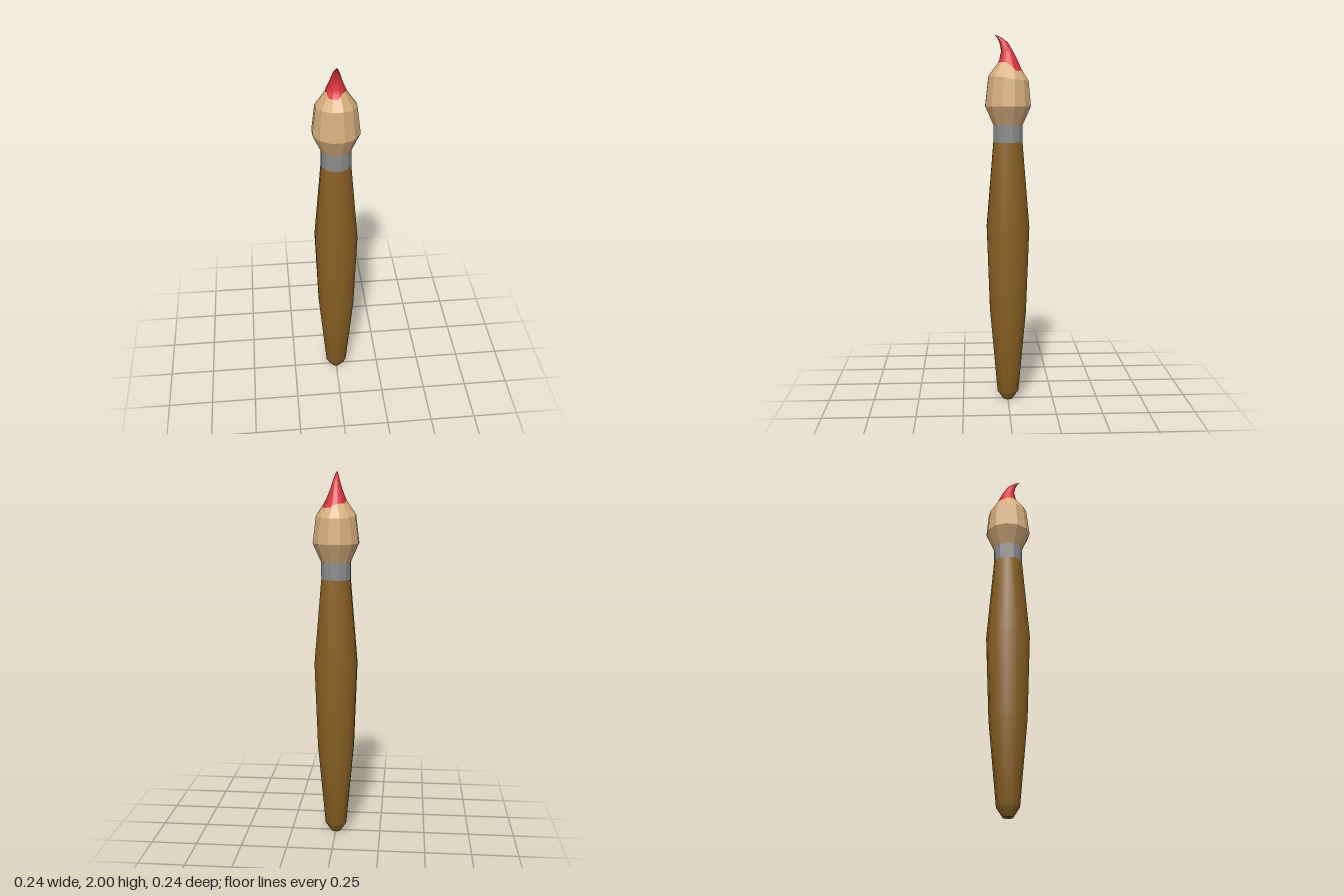
import * as THREE from 'three';
import { toCreasedNormals } from 'three/addons/utils/BufferGeometryUtils.js';

const SIDES = 12;
const STEP = (Math.PI * 2) / SIDES;

// Twelve-sided turned part from [radius, height] pairs
function turned(name, profile, material, crease) {
  const points = profile.map(([r, y]) => new THREE.Vector2(r, y));
  const geometry = new THREE.LatheGeometry(points, SIDES, STEP / 2);
  const mesh = new THREE.Mesh(toCreasedNormals(geometry, crease), material);
  mesh.name = name;
  return mesh;
}

// Cross-sections of the bent tip: height, z centre, x radius, z radius, forward lift
const SECTIONS = [
  [1.775, -0.003, 0.107, 0.109, 0.013],
  [1.845, -0.011, 0.057, 0.06, 0.018],
  [1.91, 0.0, 0.031, 0.036, 0.008],
  [1.96, 0.022, 0.016, 0.023, 0.0],
  [1.986, 0.047, 0.007, 0.009, -0.003],
  [2.0, 0.07, 0.0, 0.0, 0.0],
];

// Where the paint begins, every 30 degrees, in units of cross-sections
const PAINT_EDGE = [0.98, 1.08, 0.98, 0.66, 0.7, 1.03, 1.1, 1.02, 1.1, 1.05, 0.78, 0.65];

function paintEdge(angle) {
  const s = angle / STEP;
  const i = Math.floor(s);
  const t = (1 - Math.cos((s - i) * Math.PI)) / 2;
  return THREE.MathUtils.lerp(PAINT_EDGE[i % SIDES], PAINT_EDGE[(i + 1) % SIDES], t);
}

// Point on the tip surface; v counts cross-sections from the shoulder up
function tipPoint(angle, v) {
  const i = Math.min(Math.floor(v), SECTIONS.length - 2);
  const [y, zc, rx, rz, lift] = SECTIONS[i].map((a, k) =>
    THREE.MathUtils.lerp(a, SECTIONS[i + 1][k], v - i));
  // Straight edges between the twelve corners
  const s = angle / STEP - 0.5;
  const k = Math.floor(s);
  const a0 = (k + 0.5) * STEP;
  const a1 = a0 + STEP;
  const c = THREE.MathUtils.lerp(Math.cos(a0), Math.cos(a1), s - k);
  const n = THREE.MathUtils.lerp(Math.sin(a0), Math.sin(a1), s - k);
  return [rx * c, y + lift * n, zc + rz * n];
}

// Skin over the tip between two height rules
function tipSkin(name, rows, from, to, material, crease) {
  const cols = SIDES * 6;
  const positions = [];
  const index = [];
  for (let j = 0; j <= rows; j++) {
    for (let i = 0; i < cols; i++) {
      const angle = (i / cols) * Math.PI * 2;
      positions.push(...tipPoint(angle, THREE.MathUtils.lerp(from(angle), to(angle), j / rows)));
    }
  }
  for (let j = 0; j < rows; j++) {
    for (let i = 0; i < cols; i++) {
      const a = j * cols + i;
      const b = j * cols + ((i + 1) % cols);
      index.push(a, a + cols, b);
      if (j < rows - 1 || name !== 'paintTip') index.push(b, a + cols, b + cols);
    }
  }
  const geometry = new THREE.BufferGeometry();
  geometry.setAttribute('position', new THREE.Float32BufferAttribute(positions, 3));
  geometry.setIndex(index);
  const mesh = new THREE.Mesh(toCreasedNormals(geometry, crease), material);
  mesh.name = name;
  return mesh;
}

function flatColour(name, color) {
  const material = new THREE.MeshStandardMaterial({ color });
  material.name = name;
  return material;
}

export function createModel() {
  const wood = flatColour('brown wood', 0x8a6124);
  const metal = flatColour('grey metal', 0x8c8c8e);
  const hair = flatColour('tan bristle', 0xd6ae7e);
  const paint = flatColour('red paint', 0xd8303a);

  const brush = new THREE.Group();
  brush.name = 'paintbrush';

  // Swelling handle with a blunt tapered end
  brush.add(turned('handle', [
    [0, 0], [0.027, 0], [0.06, 0.05], [0.102, 0.51], [0.119, 0.98], [0.08, 1.44],
  ], wood, 0.6));

  // Metal collar
  brush.add(turned('ferrule', [[0.08, 1.44], [0.08, 1.53]], metal, 0.3));

  // Faceted belly of the bristles
  brush.add(turned('bristleBase', [[0.08, 1.53], [0.125, 1.63]], hair, 0.3));
  const belly = turned('bristleBelly', [[0.125, 1.63], [0.108, 1.775]], hair, 0.3);
  const pos = belly.geometry.attributes.position;
  const [y0, zc, rx, rz, lift] = SECTIONS[0];
  for (let i = 0; i < pos.count; i++) {
    // Match the upper rim to the tilted shoulder section
    if (pos.getY(i) < 1.7) continue;
    const c = pos.getX(i) / 0.108;
    const n = pos.getZ(i) / 0.108;
    pos.setXYZ(i, rx * c, y0 + lift * n, zc + rz * n);
  }
  belly.geometry = toCreasedNormals(belly.geometry, 0.3);
  brush.add(belly);

  // Bare shoulder up to the wavy paint line, then the curled painted tip
  brush.add(tipSkin('bristleShoulder', 4, () => 0, paintEdge, hair, 0.3));
  brush.add(tipSkin('paintTip', 18, paintEdge, () => SECTIONS.length - 1, paint, 0.9));

  return brush;
}
